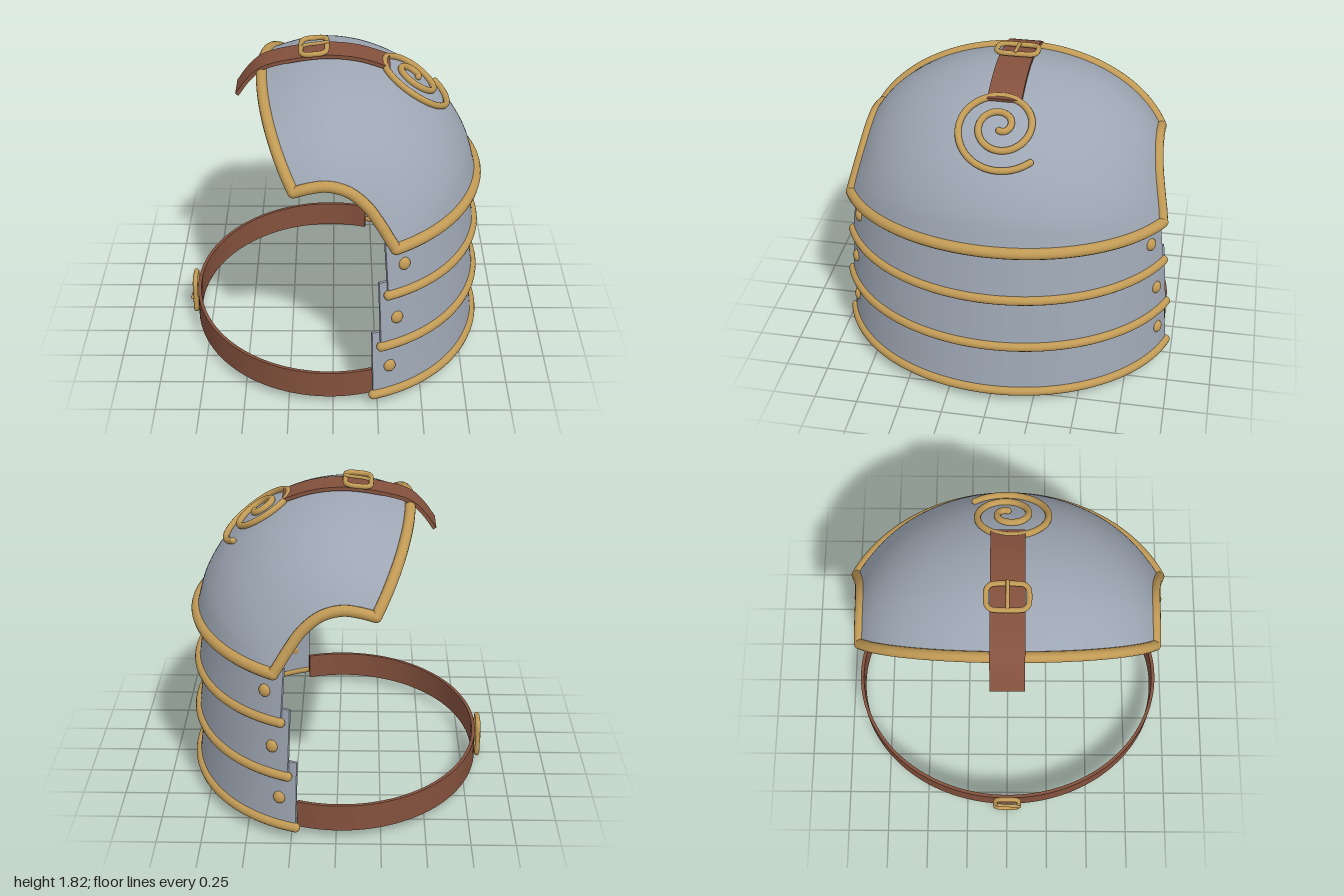
import * as THREE from 'three';
import { mergeGeometries } from 'three/addons/utils/BufferGeometryUtils.js';

const mat = (name, color, side = THREE.FrontSide) => {
  const m = new THREE.MeshStandardMaterial({ color, side });
  m.name = name;
  return m;
};
const V = (x, y, z = 0) => new THREE.Vector3(x, y, z);
const lerp = THREE.MathUtils.lerp;
const rad = THREE.MathUtils.degToRad;

// Smooth grid over a function f(u, v) -> Vector3
function grid(f, nu, nv) {
  const pos = [], idx = [];
  for (let i = 0; i <= nu; i++)
    for (let j = 0; j <= nv; j++) pos.push(...f(i / nu, j / nv).toArray());
  for (let i = 0; i < nu; i++)
    for (let j = 0; j < nv; j++) {
      const a = i * (nv + 1) + j, b = a + nv + 1;
      idx.push(a, a + 1, b, b, a + 1, b + 1);
    }
  const g = new THREE.BufferGeometry();
  g.setAttribute('position', new THREE.Float32BufferAttribute(pos, 3));
  g.setIndex(idx);
  g.computeVertexNormals();
  return g;
}

// Point on a surface, moved along its normal by d
function offset(S, u, v, d) {
  const e = 1e-3, c = (t) => Math.min(1, Math.max(0, t));
  const du = S(c(u + e), v).sub(S(c(u - e), v));
  const dv = S(u, c(v + e)).sub(S(u, c(v - e)));
  return S(u, v).addScaledVector(dv.cross(du).normalize(), d);
}

// Sheet with thickness: two faces and four edges
function sheet(S, nu, nv, thick) {
  const at = (u, v, w) => offset(S, u, v, -thick * w);
  return mergeGeometries([
    grid((u, v) => at(u, v, 0), nu, nv),
    grid((u, v) => at(1 - u, v, 1), nu, nv),
    grid((u, w) => at(u, 0, 1 - w), nu, 1),
    grid((u, w) => at(u, 1, w), nu, 1),
    grid((w, v) => at(0, v, 1 - w), 1, nv),
    grid((w, v) => at(1, v, w), 1, nv),
  ]);
}

// Round bar through points, with ball ends
function bar(points, r, n = 64, closed = false) {
  const curve = new THREE.CatmullRomCurve3(points, closed);
  const parts = [new THREE.TubeGeometry(curve, n, r, 12, closed)];
  if (!closed)
    for (const p of [points[0], points[points.length - 1]])
      parts.push(new THREE.SphereGeometry(r, 12, 10).translate(p.x, p.y, p.z));
  return mergeGeometries(parts);
}
const sample = (f, n) => Array.from({ length: n + 1 }, (_, i) => f(i / n));

export function createModel() {
  const steel = mat('steel', 0x9da6b3, THREE.DoubleSide);
  const brass = mat('brass', 0xc19a55);
  const leather = mat('leather', 0x84513d, THREE.DoubleSide);
  const model = new THREE.Group();
  const add = (name, geo, m, parent = model) => {
    const mesh = new THREE.Mesh(geo, m);
    mesh.name = name;
    parent.add(mesh);
    return mesh;
  };

  // Dome: arched sections between a ridge and the arm-hole edge
  const ridge = new THREE.CatmullRomCurve3([
    V(-0.405, 1.655), V(-0.2, 1.72), V(-0.02, 1.74), V(0.21, 1.705),
    V(0.44, 1.605), V(0.64, 1.435), V(0.77, 1.235), V(0.83, 1.04)]);
  // z of these points is the half width
  const hem = new THREE.CatmullRomCurve3([
    V(-0.21, 1.31, 0.83), V(-0.12, 1.335, 0.83), V(-0.03, 1.345, 0.83), V(0.08, 1.315, 0.835),
    V(0.18, 1.235, 0.85), V(0.26, 1.125, 0.875), V(0.3, 1.06, 0.89), V(0.335, 1.005, 0.9)]);
  const reach = (u) => rad(lerp(70, 66, u));
  const dome = (u, v) => {
    const P = ridge.getPoint(u), E = hem.getPoint(u), m = reach(u), a = m * (2 * v - 1);
    const k = (Math.cos(a) - Math.cos(m)) / (1 - Math.cos(m));
    return V(lerp(E.x, P.x, k), lerp(E.y, P.y, k), E.z * Math.sin(a) / Math.sin(m));
  };
  add('shoulderDome', sheet(dome, 48, 64, 0.02), steel);
  const domeRim = new THREE.Group();
  domeRim.name = 'domeRim';
  model.add(domeRim);
  add('neckRim', bar(sample((t) => dome(0, t), 32), 0.031), brass, domeRim);
  add('lowerRim', bar(sample((t) => dome(1, t), 32), 0.033), brass, domeRim);
  add('frontArmholeRim', bar(sample((t) => dome(t, 1), 24), 0.031), brass, domeRim);
  add('backArmholeRim', bar(sample((t) => dome(t, 0), 24), 0.031), brass, domeRim);

  // Spiral ornament lying on the dome
  const spiral = sample((t) => {
    const a = rad(lerp(-45, 720, t)), r = lerp(0.265, 0.03, t);
    const u = 0.578 + r * Math.cos(a) / 1.85, m = reach(u);
    const s = Math.asin(r * Math.sin(a) * Math.sin(m) / hem.getPoint(u).z);
    return offset(dome, u, 0.5 + s / (2 * m), 0.012);
  }, 70);
  add('spiralOrnament', bar(spiral, 0.019, 160), brass);

  // Three overlapping lames: [y, x radius, z radius, x of the ends] at bottom and top
  const lames = [
    { lo: [0.08, 0.85, 1.0, 0.225], hi: [0.475, 0.8, 0.965, 0.215], rivet: [0.315, 0.245] },
    { lo: [0.4, 0.84, 1.0, 0.265], hi: [0.795, 0.79, 0.965, 0.25], rivet: [0.35, 0.56] },
    { lo: [0.72, 0.83, 0.985, 0.3], hi: [1.025, 0.78, 0.945, 0.28], rivet: [0.385, 0.88] },
  ];
  lames.forEach(({ lo, hi, rivet }, i) => {
    const S = (u, v) => {
      const [y, rx, rz, xe] = lo.map((q, k) => lerp(q, hi[k], v));
      const a = Math.acos(xe / rx) * (2 * u - 1);
      return V(rx * Math.cos(a), y, rz * Math.sin(a));
    };
    const lame = new THREE.Group();
    lame.name = 'lame' + (i + 1);
    model.add(lame);
    add('lamePlate', sheet(S, 64, 4, 0.018), steel, lame);
    add('lameRim', bar(sample((t) => S(t, 0), 32), 0.027), brass, lame);
    // Rivets near both ends
    const [x, y] = rivet, v = (y - lo[0]) / (hi[0] - lo[0]);
    const rx = lerp(lo[1], hi[1], v), end = Math.acos(lerp(lo[3], hi[3], v) / rx);
    for (const side of [1, -1]) {
      const u = 0.5 + side * Math.acos(x / rx) / (2 * end);
      const p = S(u, v), n = offset(S, u, v, 1).sub(p);
      const r = add('rivet', new THREE.SphereGeometry(0.036, 16, 12), brass, lame);
      r.scale.z = 0.65;
      r.position.copy(p);
      r.quaternion.setFromUnitVectors(V(0, 0, 1), n);
    }
  });

  // Short strap over the ridge
  const strapPath = new THREE.CatmullRomCurve3([
    V(-0.555, 1.53), V(-0.49, 1.62), V(-0.405, 1.695), V(-0.2, 1.75),
    V(-0.02, 1.768), V(0.15, 1.75), V(0.32, 1.695)]);
  add('topStrap', sheet((u, v) => strapPath.getPoint(u).setZ(lerp(-0.095, 0.095, v)), 40, 2, 0.022), leather);

  // Long strap around the arm
  const band = (u, v) => {
    const a = lerp(rad(73), rad(287), u);
    return V(-0.02 + 0.815 * Math.cos(a), lerp(0.05, 0.21, v), 0.945 * Math.sin(a));
  };
  add('armStrap', sheet(band, 80, 2, 0.02), leather);

  // Buckle: rounded frame with a prong, facing local +z
  const buckle = (name) => {
    const g = new THREE.Group(), w = 0.072, h = 0.115, r = 0.045, pts = [];
    g.name = name;
    for (let k = 0; k < 4; k++) {
      const sx = k === 0 || k === 3 ? 1 : -1, sy = k < 2 ? 1 : -1;
      for (let j = 0; j <= 4; j++) {
        const a = (k + j / 4) * Math.PI / 2;
        pts.push(V(sx * (w - r) + r * Math.cos(a), sy * (h - r) + r * Math.sin(a)));
      }
    }
    add('buckleFrame', bar(pts, 0.015, 80, true), brass, g);
    add('buckleProng', bar([V(-w, 0, 0.005), V(-0.03, 0, 0.012), V(0.03, 0, 0.014), V(w + 0.008, 0, 0.018)], 0.01, 16), brass, g);
    model.add(g);
    return g;
  };
  const top = buckle('topBuckle');
  top.position.set(-0.11, 1.782, 0);
  top.rotation.set(-Math.PI / 2, 0.1, 0, 'ZXY');
  top.rotation.set(-Math.PI / 2, 0, 0);
  top.rotateY(-0.1);
  const low = buckle('armBuckle');
  low.position.set(-0.852, 0.13, 0);
  low.rotation.y = -Math.PI / 2;

  return model;
}
